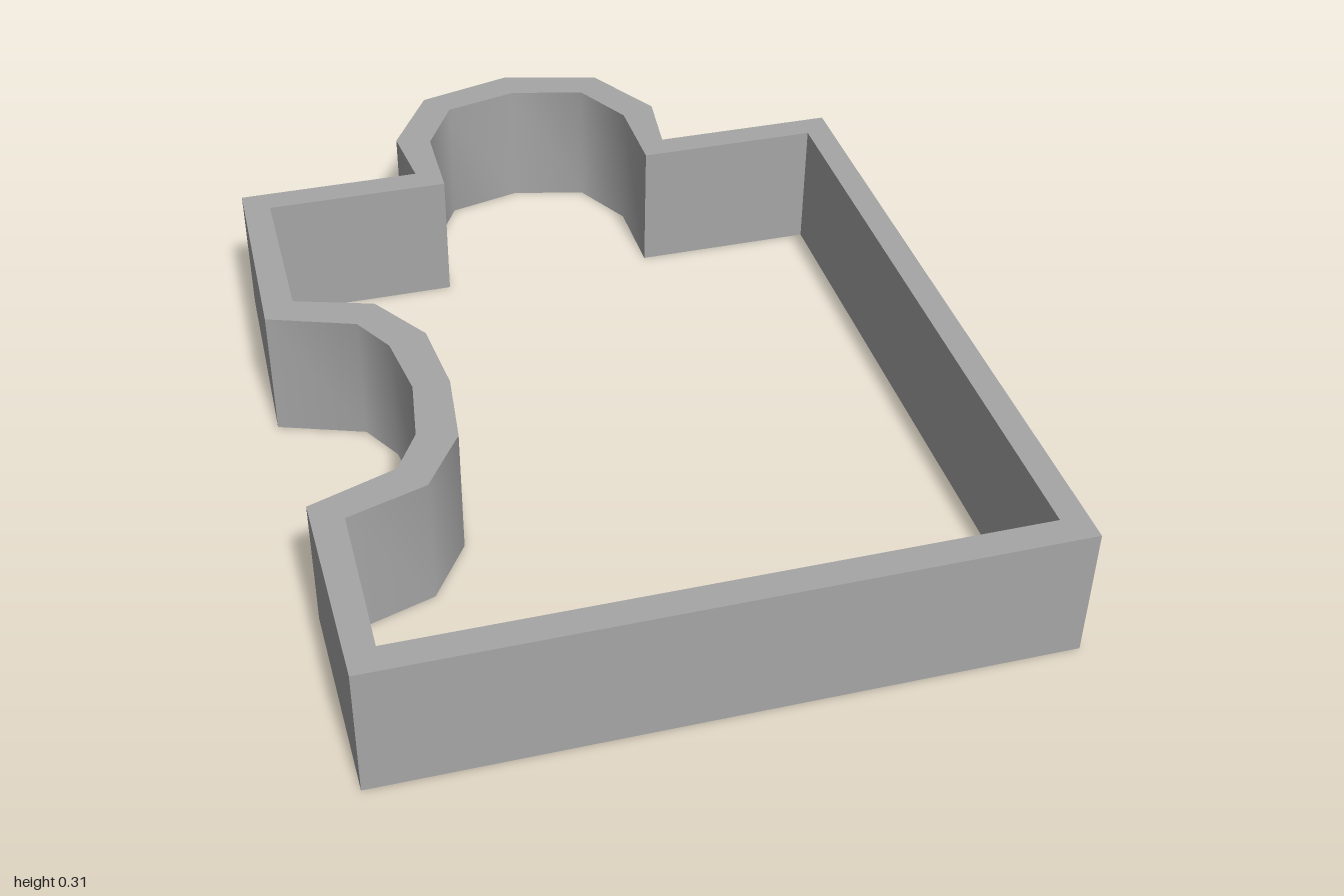
import * as THREE from 'three';
import { toCreasedNormals } from 'three/addons/utils/BufferGeometryUtils.js';

const HEIGHT = 0.305;
const NOTCH_Z = 0.214;
const CENTRE_X = 0.004; // the wall leans out slightly at the notch, so the tab sits off centre

const toPoints = (list) => list.map(([x, z]) => new THREE.Vector2(x, z));

// Closed outline: front edge, right-hand corner, rounded tab at the back, notch in the side.
// Tab and notch are given as half profiles and mirrored.
function outline(x, front, back, tab, notch) {
  const tabTip = [0, tab.tip];
  const tabLeft = tab.half.map(([px, pz]) => [-px, pz]).reverse();
  const notchFront = notch.half.map(([px, pz]) => [px, 2 * NOTCH_Z - pz]).reverse();
  return toPoints([
    [-x, front], [x, front], [x, back],
    ...tab.half, tabTip, ...tabLeft,
    [-x, back],
    ...notch.half, [notch.deep, NOTCH_Z], ...notchFront,
  ]);
}

export function createModel() {
  const group = new THREE.Group();
  group.name = 'puzzlePieceCutter';

  const grey = new THREE.MeshStandardMaterial({ color: 0xa6a6a6 });
  grey.name = 'grey';

  // Outer side of the wall
  const shape = new THREE.Shape(outline(0.728, 1, -0.602,
    { half: [[0.31, -0.602], [0.328, -0.763], [0.225, -0.94]], tip: -1 },
    { half: [[-0.737, -0.103], [-0.545, -0.035], [-0.49, 0.06]], deep: -0.468 }));

  // Inner side of the wall, wound the other way so its faces look inwards
  const inner = outline(0.669, 0.938, -0.541,
    { half: [[0.251, -0.541], [0.248, -0.738], [0.172, -0.876]], tip: -0.918 },
    { half: [[-0.669, -0.155], [-0.495, -0.1], [-0.406, 0.035]], deep: -0.388 });
  shape.holes.push(new THREE.Path(inner.reverse()));

  // Lay the extrusion flat, standing on the ground
  const extruded = new THREE.ExtrudeGeometry(shape, { depth: HEIGHT, bevelEnabled: false });
  extruded.rotateX(Math.PI / 2);
  extruded.translate(CENTRE_X, HEIGHT, 0);

  // Smooth round tab and notch, sharp corners elsewhere
  const wall = new THREE.Mesh(toCreasedNormals(extruded, THREE.MathUtils.degToRad(50)), grey);
  wall.name = 'cutterWall';
  group.add(wall);
  return group;
}
